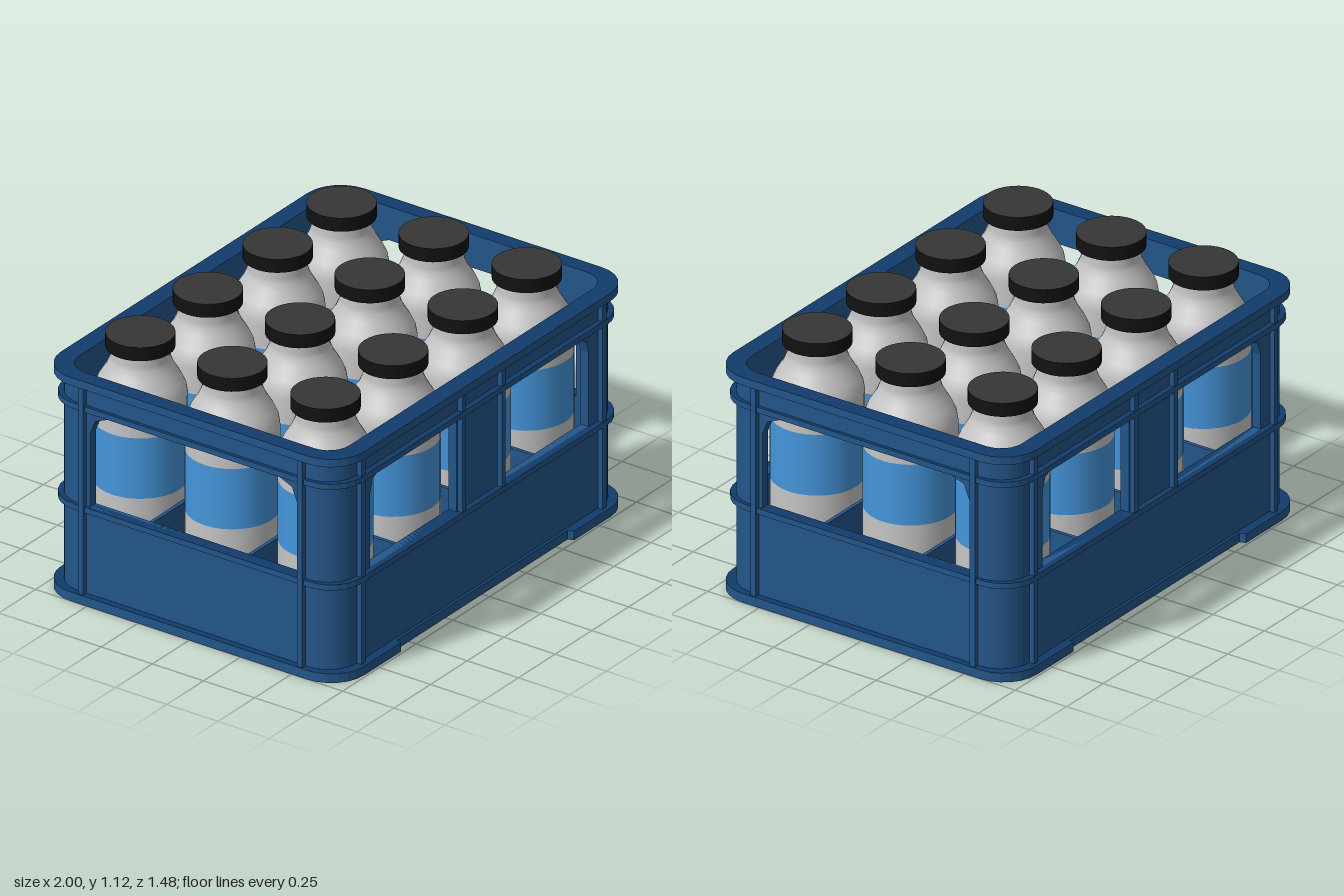
import * as THREE from 'three';

const mat = (name, color) => {
  const m = new THREE.MeshStandardMaterial({ color });
  m.name = name;
  return m;
};

export function createModel() {
  const blue = mat('crate blue', 0x24568a);
  const navy = mat('rim navy', 0x123c6c);
  const white = mat('bottle grey', 0xc6c6c6);
  const label = mat('label blue', 0x4596dc);
  const capSide = mat('cap black', 0x121212);
  const capTop = mat('cap top charcoal', 0x363636);
  const model = new THREE.Group();
  model.name = 'bottleCrate';

  const add = (name, geo, material, parent = model) => {
    const mesh = new THREE.Mesh(geo, material);
    mesh.name = name;
    parent.add(mesh);
    return mesh;
  };
  const box = (name, w, h, d, x, y, z) =>
    add(name, new THREE.BoxGeometry(w, h, d), blue).position.set(x, y, z);

  // Rounded rectangle outline, optionally notched on the long sides
  const outline = (S, a, b, r, notch = 0) => {
    const s = new S();
    s.moveTo(a, -b + r);
    s.absarc(a - r, b - r, r, 0, Math.PI / 2);
    if (notch) [[0.59, b], [0.58, b - notch], [-0.58, b - notch], [-0.59, b]].forEach(p => s.lineTo(...p));
    s.absarc(-a + r, b - r, r, Math.PI / 2, Math.PI);
    s.absarc(-a + r, -b + r, r, Math.PI, Math.PI * 1.5);
    if (notch) [[-0.59, -b], [-0.58, -b + notch], [0.58, -b + notch], [0.59, -b]].forEach(p => s.lineTo(...p));
    s.absarc(a - r, -b + r, r, Math.PI * 1.5, Math.PI * 2);
    s.closePath();
    return s;
  };
  // Extrude a plan shape upward from y0 to y1
  const slab = (name, shape, y0, y1, material, curveSegments = 3) => {
    const geo = new THREE.ExtrudeGeometry(shape, { depth: y1 - y0, bevelEnabled: false, curveSegments });
    geo.rotateX(-Math.PI / 2).translate(0, y0, 0);
    return add(name, geo, material);
  };

  // Base flange and floor
  slab('baseFlange', outline(THREE.Shape, 1, 0.74, 0.16, 0.025), 0, 0.04, [navy, blue]);
  slab('floor', outline(THREE.Shape, 0.95, 0.68, 0.12), 0.035, 0.05, blue);

  // Top rim and the two bands
  [['topRim', 0.965, 1, 1, 0.74, 0.16],
    ['upperBand', 0.855, 0.88, 0.985, 0.725, 0.15],
    ['middleBand', 0.405, 0.43, 0.985, 0.725, 0.15]].forEach(([name, y0, y1, a, b, r]) => {
    const s = outline(THREE.Shape, a, b, r);
    s.holes.push(outline(THREE.Path, 0.93, 0.66, 0.1));
    slab(name, s, y0, y1, [navy, blue]);
  });

  // Walls with windows; each hole lists its corners
  const wall = (name, half, holes) => {
    const s = new THREE.Shape();
    [[-half, 0.04], [half, 0.04], [half, 0.97], [-half, 0.97]].forEach(([x, y], i) =>
      i ? s.lineTo(x, y) : s.moveTo(x, y));
    s.closePath();
    holes.forEach(pts => s.holes.push(new THREE.Path(pts.map(p => new THREE.Vector2(...p)))));
    return add(name, new THREE.ExtrudeGeometry(s, { depth: 0.04, bevelEnabled: false }), blue);
  };
  const longWindow = k => [[0.155, 0.43], [0.745, 0.43], [0.745, 0.76], [0.725, 0.82], [0.665, 0.85], [0.155, 0.85]]
    .map(([x, y]) => [x * k, y]);
  const sideWindow = [[-0.505, 0.43], [0.505, 0.43], [0.505, 0.76], [0.48, 0.82], [0.41, 0.85],
    [-0.41, 0.85], [-0.48, 0.82], [-0.505, 0.76]];
  for (const k of [1, -1]) {
    const long = wall(k > 0 ? 'frontWall' : 'backWall', 0.83, [longWindow(1), longWindow(-1)]);
    long.position.z = k > 0 ? 0.66 : -0.7;
    const side = wall(k > 0 ? 'leftWall' : 'rightWall', 0.56, [sideWindow]);
    side.rotation.y = Math.PI / 2;
    side.position.x = k > 0 ? 0.93 : -0.97;
  }

  // Rounded corner posts and vertical ribs
  [[1, 1], [-1, 1], [-1, -1], [1, -1]].forEach(([sx, sz], i) => {
    const start = i * Math.PI / 2;
    const s = new THREE.Shape();
    s.absarc(0, 0, 0.14, start, start + Math.PI / 2, false);
    s.absarc(0, 0, 0.1, start + Math.PI / 2, start, true);
    s.closePath();
    slab('cornerPost', s, 0.04, 0.97, blue, 5).position.set(sx * 0.83, 0, -sz * 0.56);
    box('longSideRib', 0.025, 0.93, 0.03, sx * 0.82, 0.505, sz * 0.708);
    box('shortSideRib', 0.03, 0.93, 0.025, sx * 0.978, 0.505, sz * 0.535);
    box('centreRib', 0.025, 0.55, 0.03, sx * 0.135, 0.695, sz * 0.708);
  });

  // Dividers between the bottles
  [-0.5, 0.01, 0.44].forEach(x => box('crossDivider', 0.016, 0.37, 1.34, x, 0.235, 0));
  [-0.245, 0.235].forEach(z => box('longDivider', 1.88, 0.37, 0.016, 0, 0.235, z));

  // Bottles
  const lathe = pts => new THREE.LatheGeometry(pts.map(p => new THREE.Vector2(...p)), 32);
  const lower = lathe([[0, 0.05], [0.175, 0.05], [0.19, 0.07], [0.19, 0.47]]);
  const band = lathe([[0.19, 0.47], [0.19, 0.74]]);
  const upper = lathe([[0.19, 0.74], [0.19, 0.85], [0.184, 0.885], [0.168, 0.92], [0.138, 0.97],
    [0.125, 1.0], [0.12, 1.02], [0.12, 1.07]]);
  const cap = new THREE.CylinderGeometry(0.14, 0.14, 0.06, 32);
  for (const x of [-0.705, -0.245, 0.23, 0.665]) {
    for (const z of [-0.45, 0, 0.455]) {
      const bottle = new THREE.Group();
      bottle.name = 'bottle';
      bottle.position.set(x, 0, z);
      add('bottleBase', lower, white, bottle);
      add('bottleLabel', band, label, bottle);
      add('bottleShoulder', upper, white, bottle);
      add('bottleCap', cap, [capSide, capTop, capSide], bottle).position.y = 1.09;
      model.add(bottle);
    }
  }
  return model;
}
